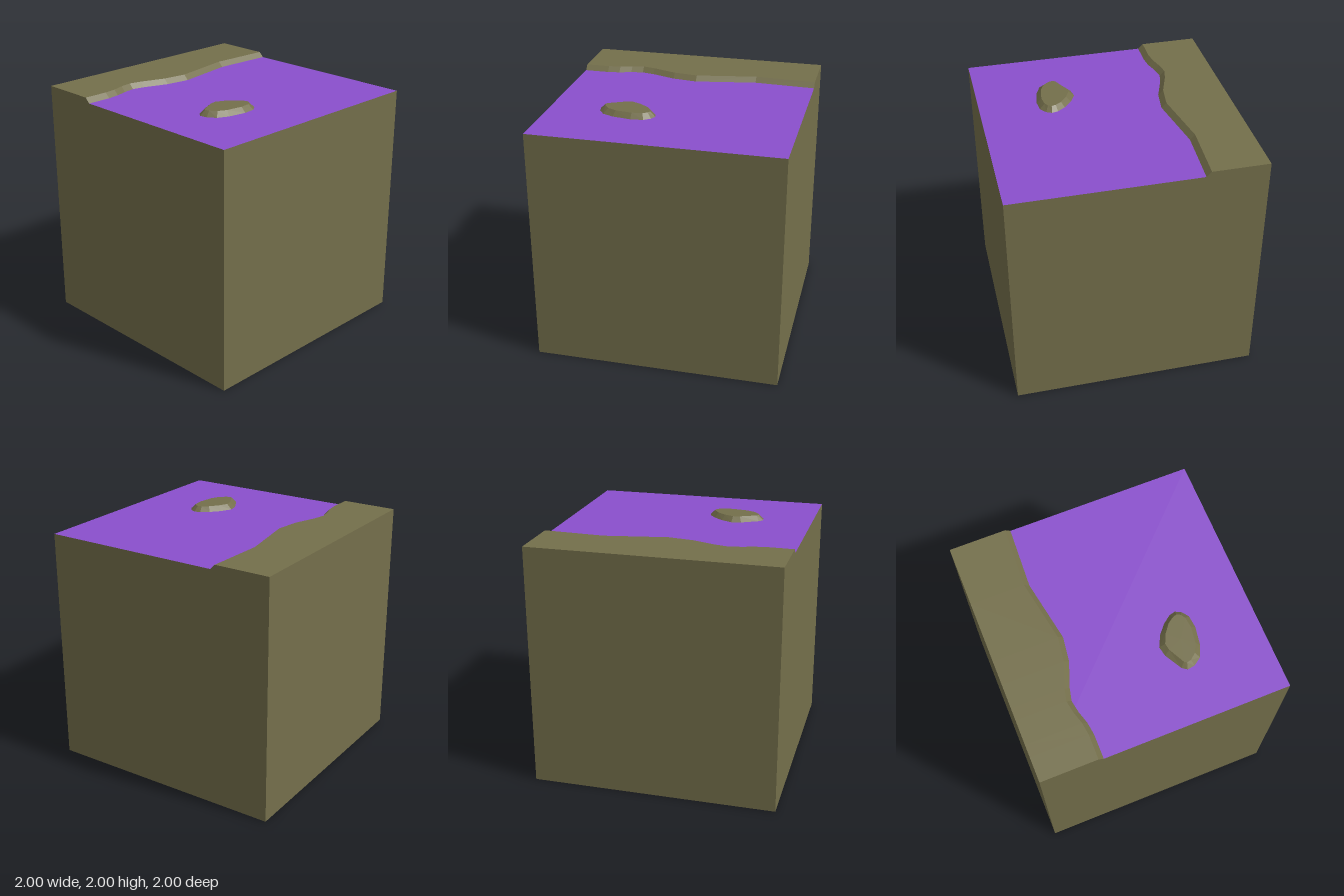
import * as THREE from 'three';

const FLOOR = 1.96, TOP = 2;

// Flat-faced geometry from a list of four-corner faces
function quads(faces) {
  const pos = [];
  for (const [a, b, c, d] of faces) pos.push(...a, ...b, ...c, ...a, ...c, ...d);
  const g = new THREE.BufferGeometry();
  g.setAttribute('position', new THREE.Float32BufferAttribute(pos, 3));
  g.computeVertexNormals();
  return g;
}

export function createModel() {
  const group = new THREE.Group();
  const earth = new THREE.MeshStandardMaterial({ color: 0x746f4b });
  earth.name = 'earth';
  const liquid = new THREE.MeshStandardMaterial({ color: 0x8a4fcd });
  liquid.name = 'purple liquid';
  const add = (name, geometry, material) => {
    const mesh = new THREE.Mesh(geometry, material);
    mesh.name = name;
    group.add(mesh);
  };

  // Ground block, with the liquid as its top face
  const block = new THREE.BoxGeometry(2, FLOOR, 2).translate(0, FLOOR / 2, 0);
  add('groundBlock', block, [earth, earth, liquid, earth, earth, earth]);

  // Raised bank: cross-sections along z with a winding, sloped shore
  const shore = [[-1, -0.54], [-0.5, -0.565], [0, -0.477], [0.2, -0.505], [0.4, -0.577],
    [0.5, -0.6], [0.6, -0.583], [0.7, -0.553], [0.8, -0.54], [1, -0.542]];
  const sections = shore.map(([z, x]) =>
    [[-1, FLOOR, z], [-1, TOP, z], [x, TOP, z], [x + 0.04, FLOOR, z]]);
  const bank = [];
  for (let s = 0; s < sections.length - 1; s++) {
    const p = sections[s], q = sections[s + 1];
    for (let i = 0; i < 3; i++) bank.push([p[i], q[i], q[i + 1], p[i + 1]]);
  }
  bank.push(sections[0], [...sections[sections.length - 1]].reverse());
  add('bank', quads(bank), earth);

  // Small island: foot outline and matching rim outline, as x, z pairs
  const foot = [[0.435, 0.125], [0.48, 0.147], [0.52, 0.2], [0.53, 0.3], [0.505, 0.45],
    [0.465, 0.54], [0.4, 0.585], [0.34, 0.595], [0.3, 0.565], [0.225, 0.43],
    [0.21, 0.35], [0.255, 0.26], [0.32, 0.185], [0.385, 0.137]];
  const rim = [[0.43, 0.165], [0.457, 0.18], [0.48, 0.215], [0.49, 0.3], [0.47, 0.435],
    [0.435, 0.505], [0.385, 0.545], [0.35, 0.553], [0.33, 0.54], [0.265, 0.41],
    [0.255, 0.355], [0.29, 0.28], [0.345, 0.21], [0.395, 0.175]];
  const at = (list, i, y) => {
    const [x, z] = list[i % list.length];
    return [x, y, z];
  };
  const centre = [0.38, TOP, 0.36];
  const island = [];
  for (let i = 0; i < foot.length; i++) {
    const r0 = at(rim, i, TOP), r1 = at(rim, i + 1, TOP);
    island.push([at(foot, i, FLOOR), r0, r1, at(foot, i + 1, FLOOR)]);
    island.push([centre, r1, r0, centre]);
  }
  add('island', quads(island), earth);

  return group;
}
